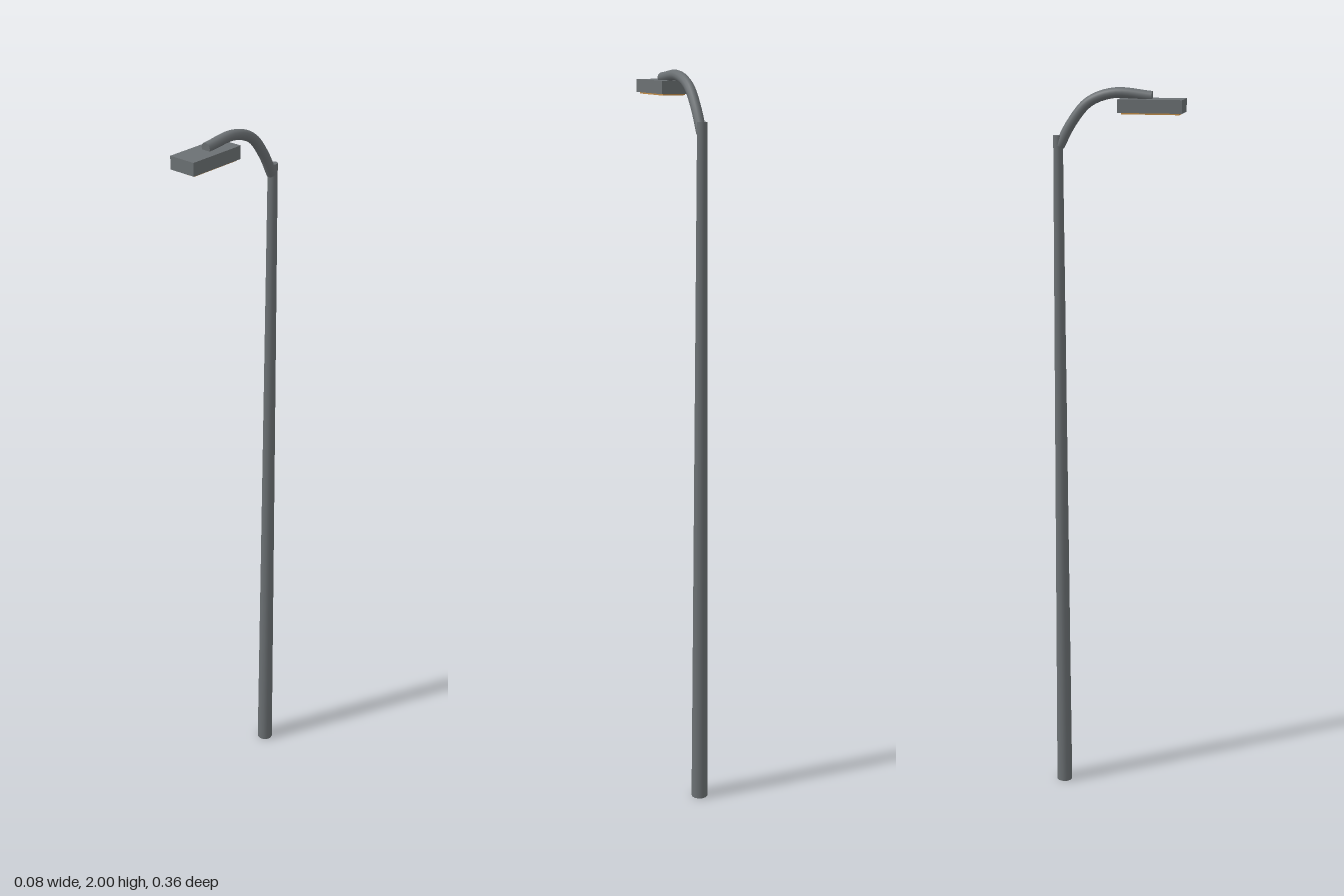
import * as THREE from 'three';

export function createModel() {
  const group = new THREE.Group();
  const metal = new THREE.MeshStandardMaterial({ color: 0x6b7073 });
  const amber = new THREE.MeshStandardMaterial({ color: 0xc08a45 });
  const poleZ = -0.156;

  const add = (name, geometry, material, x = 0, y = 0, z = 0) => {
    const mesh = new THREE.Mesh(geometry, material);
    mesh.name = name;
    mesh.position.set(x, y, z);
    group.add(mesh);
    return mesh;
  };

  // Tapered pole
  const poleHeight = 1.875;
  add('pole', new THREE.CylinderGeometry(0.013, 0.0225, poleHeight, 12), metal, 0, poleHeight / 2, poleZ);

  // Curved arm rising from the pole and levelling out over the lamp
  const armRadius = 0.0135;
  const armPath = new THREE.CatmullRomCurve3([
    [1.848, -0.152], [1.91, -0.118], [1.962, -0.073], [1.986, -0.005], [1.978, 0.094],
  ].map(([y, z]) => new THREE.Vector3(0, y, z)));
  add('arm', new THREE.TubeGeometry(armPath, 20, armRadius, 12), metal);

  // Flat caps closing both ends of the arm
  for (const [name, t, sign] of [['armStartCap', 0, -1], ['armEndCap', 1, 1]]) {
    const cap = add(name, new THREE.CircleGeometry(armRadius, 12), metal);
    cap.position.copy(armPath.getPoint(t));
    cap.quaternion.setFromUnitVectors(new THREE.Vector3(0, 0, 1), armPath.getTangent(t).multiplyScalar(sign));
  }

  // Lamp housing with the light panel set into its underside
  add('lampHousing', new THREE.BoxGeometry(0.076, 0.034, 0.168), metal, 0, 1.955, 0.094);
  add('lightPanel', new THREE.BoxGeometry(0.064, 0.008, 0.152), amber, 0, 1.938, 0.094);

  return group;
}
